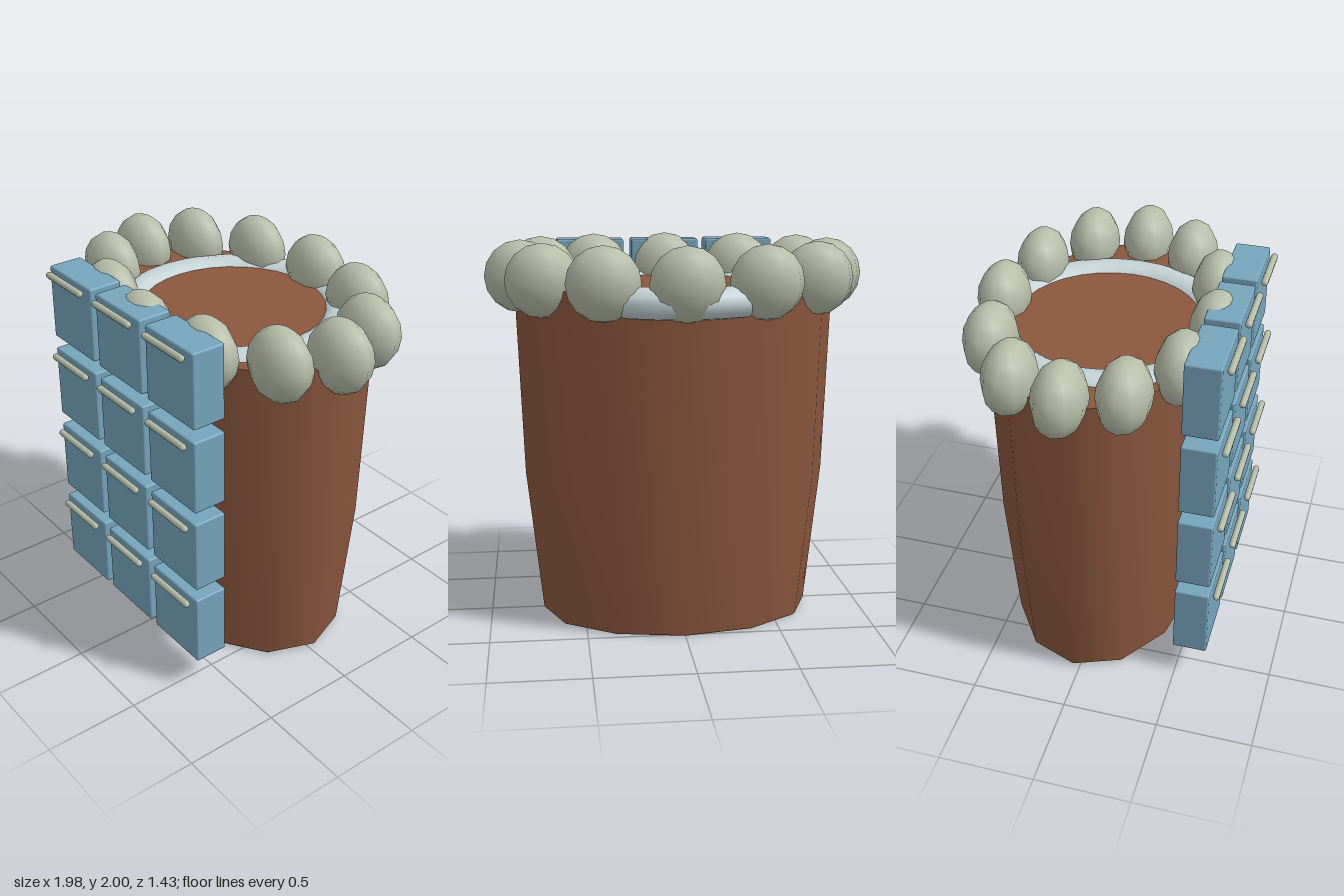
import * as THREE from 'three';
import { RoundedBoxGeometry } from 'three/addons/geometries/RoundedBoxGeometry.js';

const material = (name, color) => Object.assign(new THREE.MeshStandardMaterial({ color }), { name });

export function createModel() {
  const brown = material('brown', 0x8b573d);
  const blue = material('blue', 0x76a5bd);
  const sage = material('sage', 0xb6bda8);
  const pale = material('pale grey', 0xc5d4d8);

  const model = new THREE.Group();
  model.name = 'drawerPot';
  const CENTRE_Z = -0.037, FLATTEN = 0.68, TOP = 1.77;

  const add = (parent, name, geometry, mat, x = 0, y = 0, z = 0) => {
    const mesh = new THREE.Mesh(geometry, mat);
    mesh.name = name;
    mesh.position.set(x, y, z);
    parent.add(mesh);
    return mesh;
  };

  // Tapered twelve-sided body, flattened front to back, with flat ends
  const body = new THREE.Group();
  body.name = 'body';
  body.position.z = CENTRE_Z;
  body.scale.z = FLATTEN;
  model.add(body);
  const profile = [[0.705, 0], [0.718, 0.012], [0.8, 0.77], [0.832, 1.65], [0.834, TOP]]
    .map(([r, y]) => new THREE.Vector2(r, y));
  add(body, 'bodySide', new THREE.LatheGeometry(profile, 12), brown);
  add(body, 'bodyBase', new THREE.CircleGeometry(0.705, 12).rotateX(Math.PI / 2), brown);
  add(body, 'bodyTop', new THREE.CircleGeometry(0.834, 12).rotateX(-Math.PI / 2), brown, 0, TOP);

  // Round collar sunk into the top
  const collar = new THREE.TorusGeometry(0.545, 0.1, 12, 32).rotateX(Math.PI / 2);
  collar.scale(1, 0.8, 1);
  add(model, 'collarRing', collar, pale, 0, 1.72, CENTRE_Z);

  // Ring of twelve beads around the rim
  const beads = new THREE.Group();
  beads.name = 'rimBeads';
  model.add(beads);
  const beadShape = new THREE.SphereGeometry(0.187, 10, 8);
  beadShape.scale(1, 1, 0.71);
  for (let i = 0; i < 12; i++) {
    const a = (i * Math.PI) / 6;
    add(beads, 'bead', beadShape, sage, 0.802 * Math.cos(a), 1.813, CENTRE_Z + 0.55 * Math.sin(a));
  }

  // Grid of drawers with bar handles on the front
  const drawerShape = new RoundedBoxGeometry(0.372, 0.395, 0.18, 2, 0.01);
  const handleShape = new THREE.CapsuleGeometry(0.018, 0.28, 3, 10).rotateZ(Math.PI / 2);
  for (let row = 0; row < 4; row++) {
    for (let column = -1; column <= 1; column++) {
      const drawer = new THREE.Group();
      drawer.name = 'drawer';
      drawer.position.set(column * 0.418, 0.382 + row * 0.462, 0.575);
      model.add(drawer);
      add(drawer, 'drawerBox', drawerShape, blue);
      add(drawer, 'drawerHandle', handleShape, sage, 0, 0.168, 0.12);
    }
  }
  return model;
}
